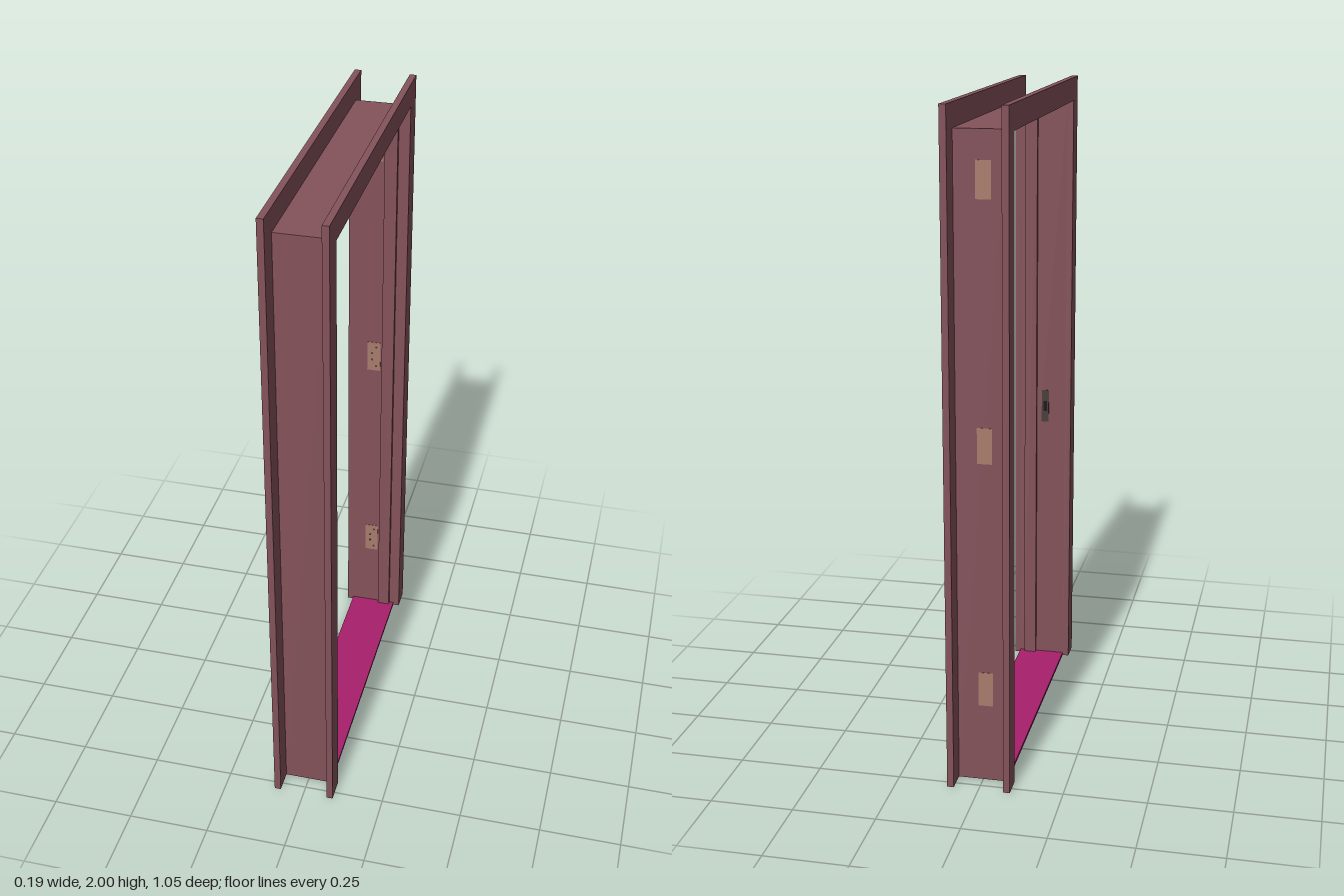
import * as THREE from 'three';

const mat = (color) => new THREE.MeshStandardMaterial({ color });

// Upside-down U in the z-y plane, open at the floor, extruded from x0 to x1
function portal(name, outer, inner, x0, x1, material) {
  const [ow, oh] = outer, [iw, ih] = inner;
  const shape = new THREE.Shape([
    [-ow, 0], [-iw, 0], [-iw, ih], [iw, ih], [iw, 0], [ow, 0], [ow, oh], [-ow, oh],
  ].map(([a, b]) => new THREE.Vector2(a, b)));
  const geo = new THREE.ExtrudeGeometry(shape, { depth: x1 - x0, bevelEnabled: false });
  geo.rotateY(Math.PI / 2);
  const mesh = new THREE.Mesh(geo, material);
  mesh.position.x = x0;
  mesh.name = name;
  return mesh;
}

function box(name, size, pos, material) {
  const mesh = new THREE.Mesh(new THREE.BoxGeometry(...size), material);
  mesh.position.set(...pos);
  mesh.name = name;
  return mesh;
}

export function createModel() {
  const group = new THREE.Group();
  group.name = 'doorFrame';
  const frame = mat(0x84525a), sillMat = mat(0xa8206c);
  const hingeMat = mat(0xa87c6c), strikeMat = mat(0x4a3c3c), holeMat = mat(0x181414);

  // Casings on both faces of the wall
  group.add(portal('rightCasing', [0.527, 2], [0.456, 1.927], -0.095, -0.075, frame));
  group.add(portal('leftCasing', [0.527, 2], [0.456, 1.927], 0.075, 0.095, frame));

  // Thin lining between the casings, and the stop the door closes against
  group.add(portal('jamb', [0.46, 1.931], [0.456, 1.927], -0.075, 0.075, frame));
  group.add(portal('doorStop', [0.456, 1.927], [0.443, 1.915], 0.02, 0.06, frame));

  // Threshold
  group.add(box('sill', [0.15, 0.01, 0.912], [0, 0.005, 0], sillMat));

  // Hinge leaves let through the back jamb, each with screw heads
  const screwGeo = new THREE.CylinderGeometry(0.004, 0.004, 0.001, 10).rotateX(Math.PI / 2);
  for (const y of [0.295, 1.045, 1.795]) {
    const hinge = new THREE.Group();
    hinge.name = 'hinge';
    hinge.position.set(-0.009, y, -0.458);
    hinge.add(box('hingeLeaf', [0.044, 0.106, 0.006], [0, 0, 0], hingeMat));
    for (const [sx, sy] of [[0.008, 0.036], [-0.006, 0.012], [-0.006, -0.012], [0.008, -0.036]]) {
      const screw = new THREE.Mesh(screwGeo, strikeMat);
      screw.name = 'hingeScrew';
      screw.position.set(sx, sy, 0.0032);
      hinge.add(screw);
    }
    group.add(hinge);
  }

  // Strike plate with latch opening on the front jamb
  group.add(box('strikePlate', [0.024, 0.11, 0.002], [-0.008, 0.91, 0.4558], strikeMat));
  group.add(box('latchHole', [0.012, 0.035, 0.002], [-0.008, 0.91, 0.4554], holeMat));

  return group;
}
